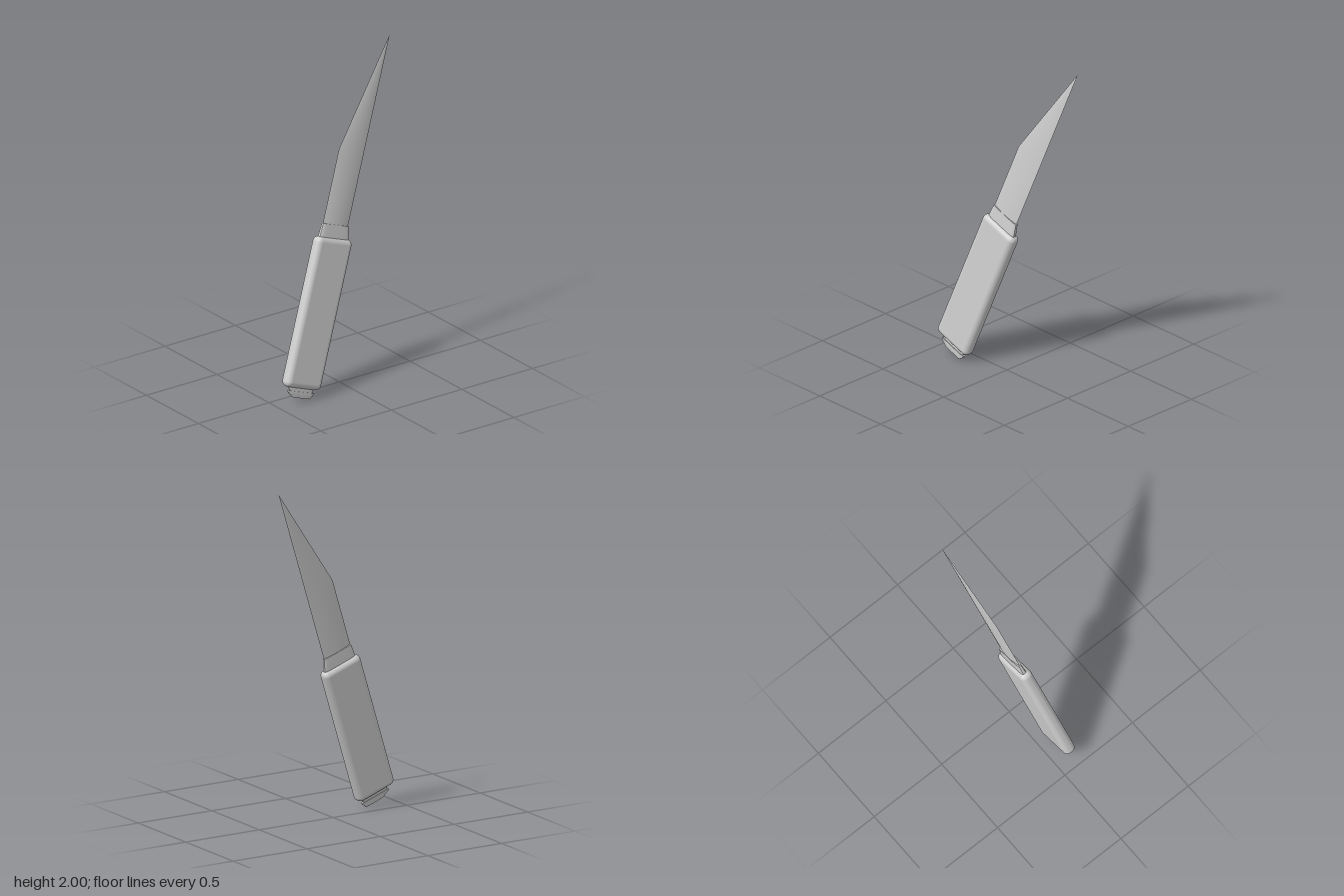
import * as THREE from 'three';
import { toCreasedNormals } from 'three/addons/utils/BufferGeometryUtils.js';
import { RoundedBoxGeometry } from 'three/addons/geometries/RoundedBoxGeometry.js';

// Local frame: y runs along the knife, z across its width, x through its thickness.
const MID = 0.085;
const material = new THREE.MeshStandardMaterial({ color: 0xcccccc });

// Outlines in a unit square, counted from +x towards +z.
const SIDES = 32;
const angles = Array.from({ length: SIDES }, (_, i) => (i / SIDES) * Math.PI * 2);
const bend = (c, p) => Math.sign(c) * Math.abs(c) ** p;
const roundedOutline = angles.map((t) => [bend(Math.cos(t), 0.4), bend(Math.sin(t), 0.4)]);
const lensOutline = angles.map((t) => {
  const s = Math.sin(t);
  return [Math.abs(Math.cos(t)) < 1e-6 ? 0 : Math.sign(Math.cos(t)) * (1 - s * s), s];
});

// Skin over sections { y, z0, z1, t }, where t is half the thickness.
function loft(outline, sections, crease) {
  const rings = sections.map(({ y, z0, z1, t }) =>
    outline.map(([a, b]) => [MID + a * t, y, (z0 + z1) / 2 + (b * (z1 - z0)) / 2]));
  const pos = [];
  const tri = (...pts) => pts.forEach((p) => pos.push(...p));
  for (let j = 0; j < rings.length - 1; j++) {
    for (let i = 0; i < SIDES; i++) {
      const k = (i + 1) % SIDES;
      const [lo, hi] = [rings[j], rings[j + 1]];
      tri(lo[i], hi[i], lo[k]);
      tri(hi[i], hi[k], lo[k]);
    }
  }
  // End caps
  const centre = (s) => [MID, s.y, (s.z0 + s.z1) / 2];
  const first = sections[0], last = sections[sections.length - 1];
  for (let i = 0; i < SIDES; i++) {
    const k = (i + 1) % SIDES;
    tri(centre(first), rings[0][i], rings[0][k]);
    tri(centre(last), rings[rings.length - 1][k], rings[rings.length - 1][i]);
  }
  const geometry = new THREE.BufferGeometry();
  geometry.setAttribute('position', new THREE.Float32BufferAttribute(pos, 3));
  return toCreasedNormals(geometry, crease);
}

export function createModel() {
  const knife = new THREE.Group();
  knife.name = 'knife';
  const add = (name, geometry) => {
    const mesh = new THREE.Mesh(geometry, material);
    mesh.name = name;
    knife.add(mesh);
    return mesh;
  };

  // Handle: soft-edged slab
  add('handle', new RoundedBoxGeometry(0.076, 0.885, 0.263, 6, 0.033)).position.set(MID, 0.3925, 0.349);

  // Collar between handle and blade
  add('collar', loft(roundedOutline, [
    { y: 0.8, z0: 0.236, z1: 0.46, t: 0.018 },
    { y: 0.84, z0: 0.24, z1: 0.457, t: 0.017 },
    { y: 0.911, z0: 0.257, z1: 0.451, t: 0.013 },
  ], 0.6));

  // Blade: lens section, straight back, front edge slanting to the point
  const base = 0.905, corner = 1.347, tip = 2.036;
  const bladeSections = [];
  for (let i = 0; i <= 4; i++) {
    const f = i / 4;
    bladeSections.push({ y: base + (corner - base) * f, z0: 0.26, z1: 0.449, t: 0.011 - 0.003 * f });
  }
  for (let i = 1; i <= 10; i++) {
    const f = i / 10;
    bladeSections.push({
      y: corner + (tip - corner) * f, z0: 0.26, z1: 0.449 - 0.1885 * f, t: 0.008 - 0.0077 * f,
    });
  }
  add('blade', loft(lensOutline, bladeSections, 0.5));

  // Stepped tail cap below the handle
  add('tailNeck', loft(roundedOutline, [
    { y: -0.076, z0: 0.26, z1: 0.425, t: 0.009 },
    { y: -0.03, z0: 0.25, z1: 0.445, t: 0.012 },
  ], 0.6));
  add('tailCap', loft(roundedOutline, [
    { y: -0.107, z0: 0.268, z1: 0.392, t: 0.007 },
    { y: -0.082, z0: 0.25, z1: 0.433, t: 0.013 },
    { y: -0.07, z0: 0.247, z1: 0.437, t: 0.013 },
  ], 0.5));

  // Lean back and to one side
  knife.rotation.set(THREE.MathUtils.degToRad(-20), 0, THREE.MathUtils.degToRad(6));
  const model = new THREE.Group();
  model.name = 'model';
  model.add(knife);
  return model;
}
